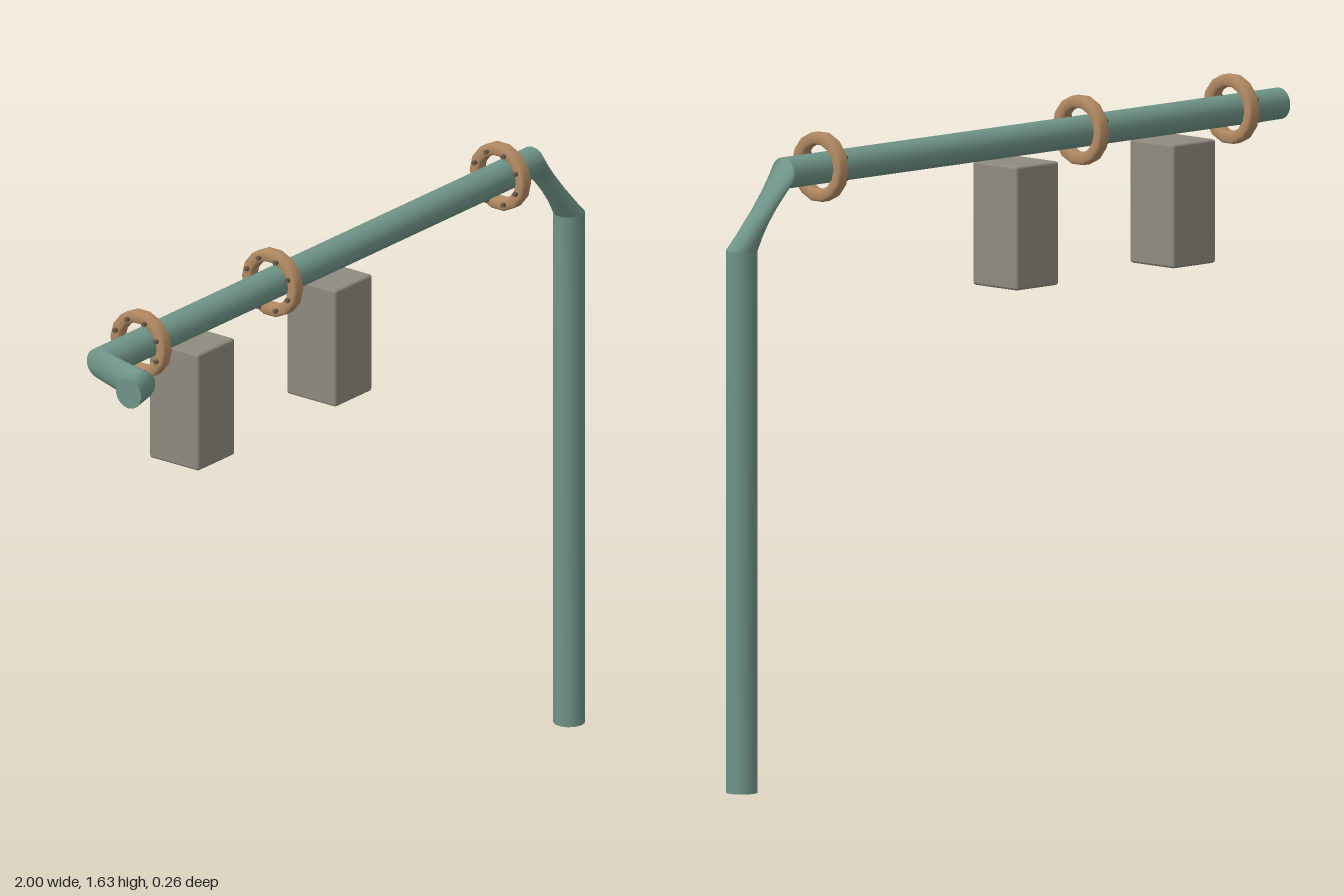
import * as THREE from 'three';
import { RoundedBoxGeometry } from 'three/addons/geometries/RoundedBoxGeometry.js';

const SIDES = 18, R = 0.04, Z = -0.045, TOP = 1.545;

const material = (name, color, extra = {}) => {
  const m = new THREE.MeshStandardMaterial({ color, ...extra });
  m.name = name;
  return m;
};

// One circular pipe section: centre, two in-plane axes and a twist
function section(center, u, v, twist = 0) {
  const c = new THREE.Vector3(...center), U = new THREE.Vector3(...u), V = new THREE.Vector3(...v);
  return Array.from({ length: SIDES }, (_, j) => {
    const a = (j / SIDES) * Math.PI * 2 + twist;
    return c.clone().addScaledVector(U, R * Math.cos(a)).addScaledVector(V, R * Math.sin(a));
  });
}

// Skin between two sections, smooth around the pipe and sharp at its ends
function band(a, b) {
  const index = [];
  for (let j = 0; j < SIDES; j++) {
    const k = (j + 1) % SIDES;
    index.push(j, k, j + SIDES, k, k + SIDES, j + SIDES);
  }
  const g = new THREE.BufferGeometry().setFromPoints([...a, ...b]);
  g.setIndex(index);
  g.computeVertexNormals();
  return g;
}

// Flat end of the pipe
function cap(ring, flip) {
  const index = [];
  for (let j = 1; j < SIDES - 1; j++) index.push(0, flip ? j + 1 : j, flip ? j : j + 1);
  const g = new THREE.BufferGeometry().setFromPoints(ring);
  g.setIndex(index);
  g.computeVertexNormals();
  return g;
}

export function createModel() {
  const model = new THREE.Group();
  const green = material('pipeGreen', 0x6f9488);
  const brown = material('flangeBrown', 0xb38a63);
  const dark = material('boltBrown', 0x6b5a48);
  const grey = material('boxGrey', 0x8f8a7f);

  const add = (parent, name, geometry, mat) => {
    const mesh = new THREE.Mesh(geometry, mat);
    mesh.name = name;
    parent.add(mesh);
    return mesh;
  };

  // Pipe: crooked end, long horizontal run, pinched elbow, post
  const x = [1, 0, 0], y = [0, 1, 0], z = [0, 0, 1];
  const twist = Math.PI / 2;
  const rings = [
    section([-1, 1.516, 0.092], y, z),
    section([-0.942, 1.516, 0.087], y, [0.92, 0, 0.4]),
    section([-0.943, TOP, Z], y, z),
    section([0.81, TOP, Z], y, z),
    section([0.957, 1.365, Z], x, z, twist),
    section([0.957, 0, Z], x, z, twist),
  ];
  const pipe = new THREE.Group();
  pipe.name = 'pipe';
  model.add(pipe);
  ['endStub', 'endBend', 'horizontalPipe', 'elbow', 'post'].forEach((name, i) =>
    add(pipe, name, band(rings[i], rings[i + 1]), green));
  add(pipe, 'stubCap', cap(rings[0], true), green);
  add(pipe, 'postCap', cap(rings[5], false), green);

  // Flange rings around the pipe, with a circle of bolts on one side
  const h = 0.018, c = 0.006, inner = 0.058, outer = 0.088;
  const profile = [
    [inner, -h + c], [inner + c, -h], [outer - c, -h], [outer, -h + c],
    [outer, h - c], [outer - c, h], [inner + c, h], [inner, h - c], [inner, -h + c],
  ].map(p => new THREE.Vector2(...p));
  const flangeGeometry = new THREE.LatheGeometry(profile, 14).rotateZ(Math.PI / 2);
  const boltGeometry = new THREE.CylinderGeometry(0.006, 0.006, 0.012, 6).rotateZ(Math.PI / 2);
  for (const px of [-0.775, -0.243, 0.678]) {
    const flange = new THREE.Group();
    flange.name = 'flange';
    flange.position.set(px, 1.548, Z + 0.001);
    add(flange, 'flangeRing', flangeGeometry, brown);
    for (let i = 0; i < 8; i++) {
      const a = ((i + 0.5) / 8) * Math.PI * 2;
      add(flange, 'bolt', boltGeometry, dark)
        .position.set(-h - 0.004, 0.07 * Math.cos(a), 0.07 * Math.sin(a));
    }
    model.add(flange);
  }

  // Boxes below the pipe
  const boxGeometry = new RoundedBoxGeometry(0.15, 0.312, 0.156, 1, 0.007);
  for (const px of [-0.566, -0.011])
    add(model, 'hangingBox', boxGeometry, grey).position.set(px, 1.337, -0.046);

  return model;
}
